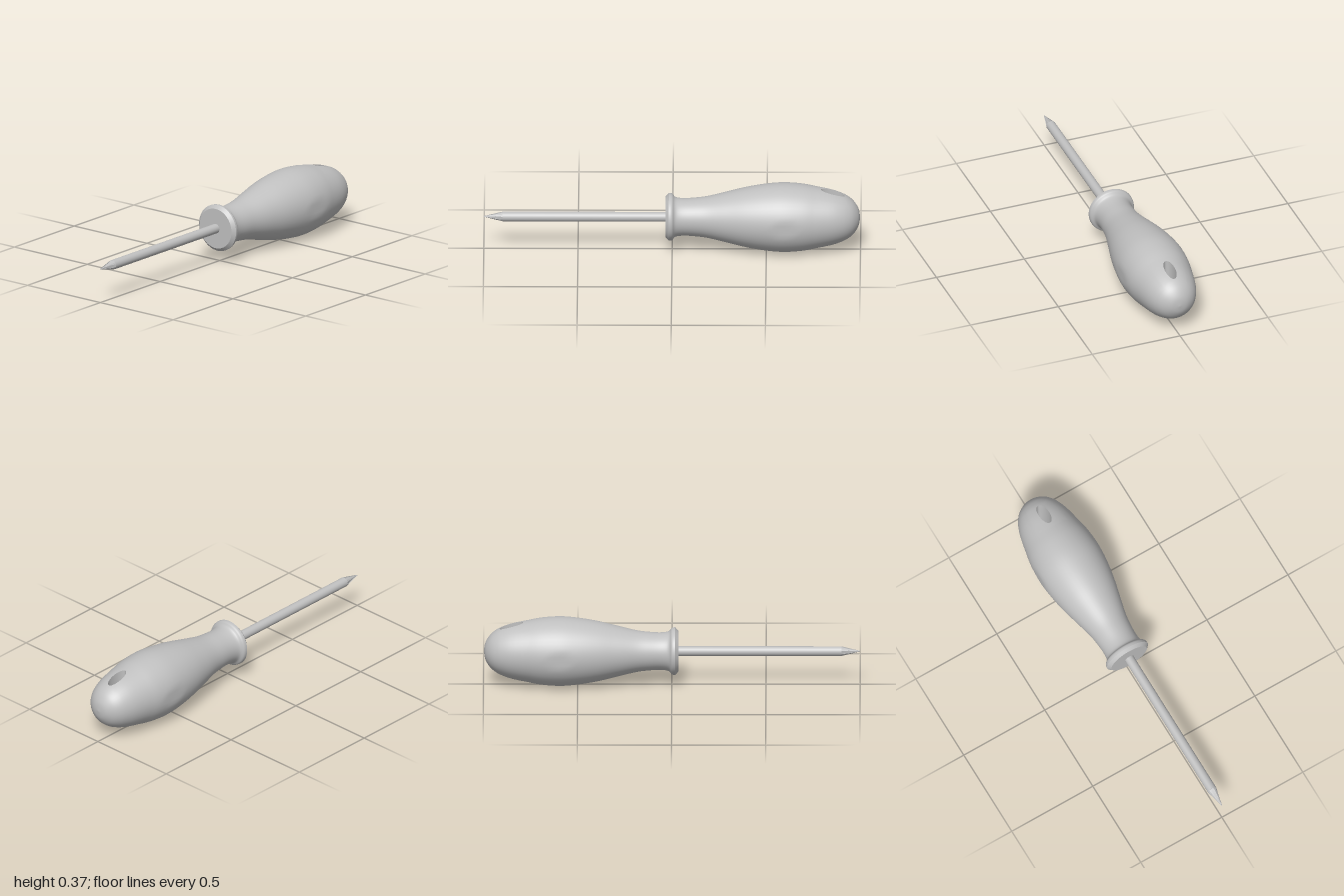
import * as THREE from 'three';
import { mergeGeometries, mergeVertices } from 'three/addons/utils/BufferGeometryUtils.js';

const AXIS = 0.1865; // height of the tool's long axis

// Handle profile as (radius, z), from flange to butt
const profile = new THREE.SplineCurve([
  [0.127, 0.018], [0.124, 0.0], [0.106, -0.018], [0.1, -0.06], [0.103, -0.12], [0.112, -0.19],
  [0.136, -0.29], [0.16, -0.39], [0.177, -0.49], [0.1855, -0.59], [0.179, -0.69], [0.164, -0.77],
  [0.147, -0.85], [0.13, -0.9], [0.112, -0.935], [0.085, -0.966], [0.045, -0.99], [0, -0.998],
].map(([r, z]) => new THREE.Vector2(r, z)));

// Profile parameter at a given z
function paramAt(z) {
  let lo = 0, hi = 1;
  for (let i = 0; i < 30; i++) {
    const mid = (lo + hi) / 2;
    if (profile.getPoint(mid).y > z) lo = mid; else hi = mid;
  }
  return lo;
}

// Point on the handle, with shallow flats on both sides
function skin(theta, t) {
  const p = profile.getPoint(t);
  const x = THREE.MathUtils.clamp(p.x * Math.sin(theta), -0.18, 0.18);
  return [x, AXIS + p.x * Math.cos(theta), p.y];
}

// Grid surface from f(i, j) with nu by nv cells
function sheet(nu, nv, f) {
  const pos = [], index = [];
  for (let j = 0; j <= nv; j++) for (let i = 0; i <= nu; i++) pos.push(...f(i, j));
  for (let j = 0; j < nv; j++) {
    for (let i = 0; i < nu; i++) {
      const a = j * (nu + 1) + i, b = a + nu + 1;
      index.push(a, a + 1, b, a + 1, b + 1, b);
    }
  }
  const g = new THREE.BufferGeometry();
  g.setAttribute('position', new THREE.Float32BufferAttribute(pos, 3));
  g.setIndex(index);
  return g;
}

const SEG = 48, STEP = Math.PI * 2 / SEG, HALF = 5, ROWS = 8;
const HOLE = { z: -0.852, rx: 0.029, rz: 0.063 };

function holePoint(phi) {
  const z = HOLE.z - HOLE.rz * Math.sin(phi);
  const t = paramAt(z), r = profile.getPoint(t).x, x = HOLE.rx * Math.cos(phi);
  return { x, z, t, theta: Math.asin(x / r), h: Math.sqrt(r * r - x * x) };
}

function handleGeometry() {
  const t1 = paramAt(-0.76), t2 = paramAt(-0.94);
  const strip = (start, count, a, b, rows) => sheet(count, rows, (i, j) =>
    skin((start + i) * STEP, a + (b - a) * j / rows));
  const parts = [strip(0, SEG, 0, t1, 48), strip(0, SEG, t2, 1, 14)];

  // Perimeter of the square patch around each hole mouth, counter-clockwise
  const rim = [];
  for (let i = 0; i < 2 * HALF; i++) rim.push([i / HALF - 1, -1]);
  for (let j = 0; j < ROWS; j++) rim.push([1, 2 * j / ROWS - 1]);
  for (let i = 0; i < 2 * HALF; i++) rim.push([1 - i / HALF, 1]);
  for (let j = 0; j < ROWS; j++) rim.push([-1, 1 - 2 * j / ROWS]);

  for (const side of [0, 1]) {
    const start = side * SEG / 2;
    parts.push(strip(start + HALF, SEG / 2 - 2 * HALF, t1, t2, ROWS));
    parts.push(sheet(rim.length, 6, (i, j) => {
      const [p, q] = rim[i % rim.length], k = j / 6;
      const h = holePoint(Math.atan2(q, p));
      const theta = THREE.MathUtils.lerp(p * HALF * STEP, h.theta, k);
      const t = THREE.MathUtils.lerp((t1 + t2) / 2 + q * (t2 - t1) / 2, h.t, k);
      return skin(start * STEP + theta, t);
    }));
  }
  const g = mergeVertices(mergeGeometries(parts), 1e-5);
  g.computeVertexNormals();
  return g;
}

// Wall of the hanging hole
function holeGeometry() {
  const g = sheet(36, 1, (i, j) => {
    const h = holePoint(i / 36 * Math.PI * 2);
    return [h.x, AXIS + (j ? -h.h : h.h), h.z];
  });
  const smooth = mergeVertices(g, 1e-5);
  smooth.computeVertexNormals();
  return smooth;
}

// Tapered cross tip with four slots whose floors slope to the point
function tipGeometry() {
  const rows = 8;
  const g = sheet(20, rows, (i, j) => {
    const s = j / rows, R = THREE.MathUtils.lerp(0.026, 0.002, s);
    const w = Math.min(0.008, 0.45 * R), c = Math.sqrt(R * R - w * w);
    const d = THREE.MathUtils.lerp(c, w, Math.min(1, s * 1.5)), m = R * Math.SQRT1_2;
    const [x, y] = [[d, -w], [d, w], [c, w], [m, m], [w, c]][i % 5];
    const a = Math.floor(i / 5) * Math.PI / 2, cs = Math.cos(a), sn = Math.sin(a);
    return [x * cs - y * sn, AXIS + x * sn + y * cs, 0.9 + 0.1 * s];
  }).toNonIndexed();
  g.computeVertexNormals();
  return g;
}

export function createModel() {
  const group = new THREE.Group();
  const grey = new THREE.MeshStandardMaterial({ color: 0xc0c0c0 });
  grey.name = 'grey';
  const add = (name, geometry) => {
    const mesh = new THREE.Mesh(geometry, grey);
    mesh.name = name;
    group.add(mesh);
  };

  // Handle
  add('handle', handleGeometry());
  add('hangingHole', holeGeometry());
  add('flangeChamfer', new THREE.CylinderGeometry(0.109, 0.127, 0.017, SEG, 1, true)
    .rotateX(Math.PI / 2).translate(0, AXIS, 0.0265));
  add('flangeFace', new THREE.CircleGeometry(0.109, SEG).translate(0, AXIS, 0.035));

  // Shaft and tip
  add('shaft', new THREE.CylinderGeometry(0.026, 0.026, 0.87, 32)
    .rotateX(Math.PI / 2).translate(0, AXIS, 0.465));
  add('crossTip', tipGeometry());
  return group;
}
